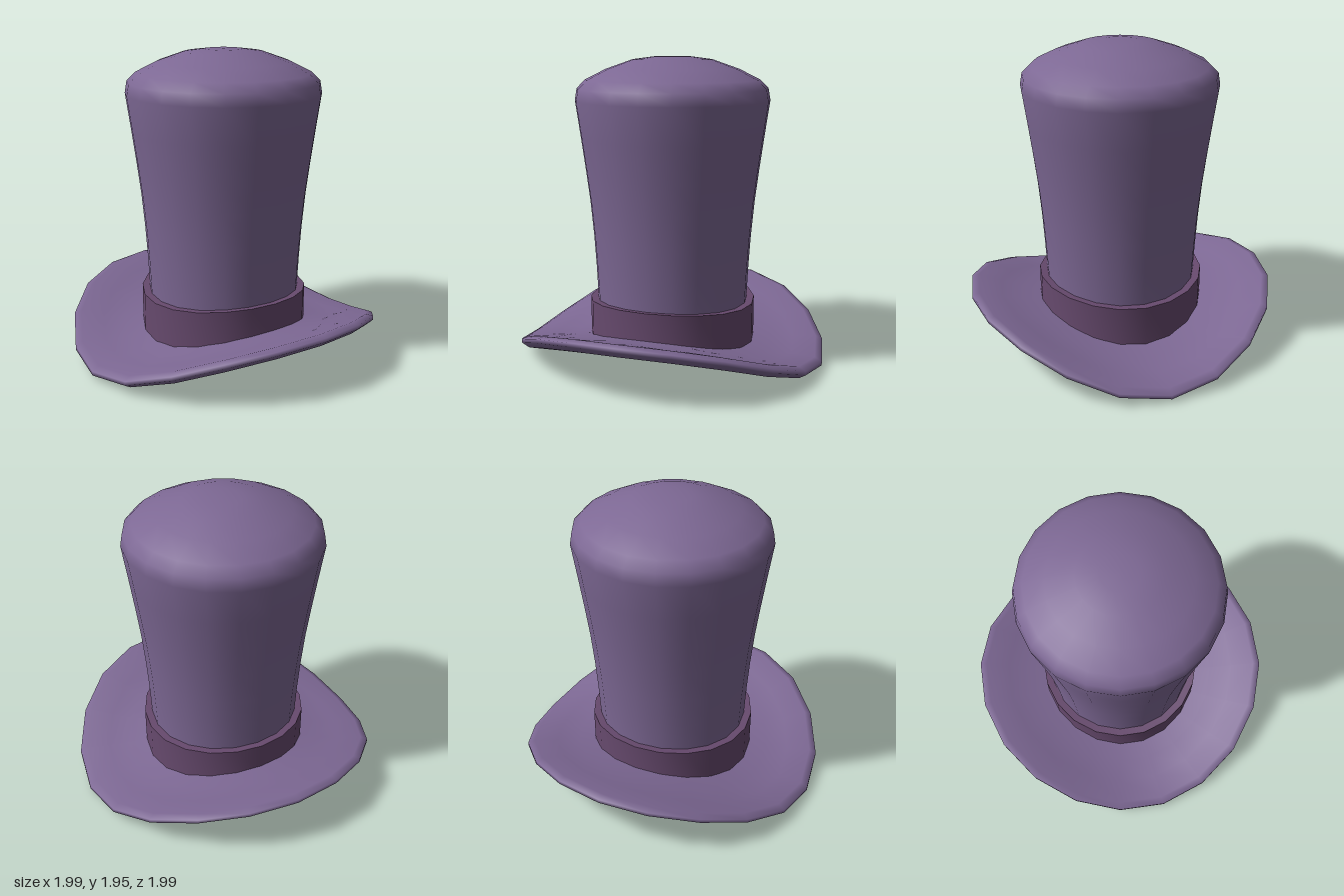
import * as THREE from 'three';
import { mergeVertices, toCreasedNormals } from 'three/addons/utils/BufferGeometryUtils.js';

const SIDES = 20;

// Upward curl of the brim towards the left and right sides
const curl = (x) => 0.47 * x * x - 0.155 * x ** 4;

// Turned profile, bent by the curl; fade(y) says how much of the curl applies at height y
function bentLathe(profile, fade) {
  const points = profile.map(([r, y]) => new THREE.Vector2(r, y));
  let geo = new THREE.LatheGeometry(points, SIDES);
  geo.deleteAttribute('uv');
  geo.deleteAttribute('normal');
  geo = mergeVertices(geo, 1e-4);
  const pos = geo.attributes.position;
  for (let i = 0; i < pos.count; i++) {
    const y = pos.getY(i);
    pos.setY(i, y + curl(pos.getX(i)) * fade(y));
  }
  geo.computeVertexNormals();
  return geo;
}

function addPart(group, name, geometry, material) {
  const mesh = new THREE.Mesh(geometry, material);
  mesh.name = name;
  group.add(mesh);
}

export function createModel() {
  const hat = new THREE.Group();
  hat.name = 'topHat';
  const felt = new THREE.MeshStandardMaterial({ color: 0x7d6894, side: THREE.DoubleSide });
  const ribbon = new THREE.MeshStandardMaterial({ color: 0x674a6e, side: THREE.DoubleSide });

  // The curl dies out up the crown
  const fadeUp = (y) => Math.max(0, 1 - y / 0.58);

  // Brim: thick rounded edge, rising slightly towards the crown
  addPart(hat, 'brim', bentLathe([
    [0.48, 0.01], [0.62, 0.008], [0.8, 0.004], [0.95, 0.0],
    [0.995, 0.025], [0.995, 0.05], [0.95, 0.075],
    [0.8, 0.085], [0.65, 0.105], [0.485, 0.14],
  ], () => 1), felt);

  // Crown: hollow, flaring upwards to a shallow dome
  addPart(hat, 'crown', bentLathe([
    [0.48, 0.01], [0.485, 0.2], [0.488, 0.4], [0.497, 0.6], [0.51, 0.8],
    [0.53, 1.02], [0.555, 1.22], [0.585, 1.44], [0.618, 1.67], [0.605, 1.745],
    [0.55, 1.8], [0.42, 1.865], [0.25, 1.925], [0.12, 1.942], [0, 1.945],
  ], fadeUp), felt);

  // Hat band: flat-topped ring around the foot of the crown
  addPart(hat, 'hatBand', toCreasedNormals(bentLathe([
    [0.48, 0.1], [0.536, 0.1], [0.536, 0.385], [0.48, 0.385],
  ], fadeUp), Math.PI / 5), ribbon);

  return hat;
}
